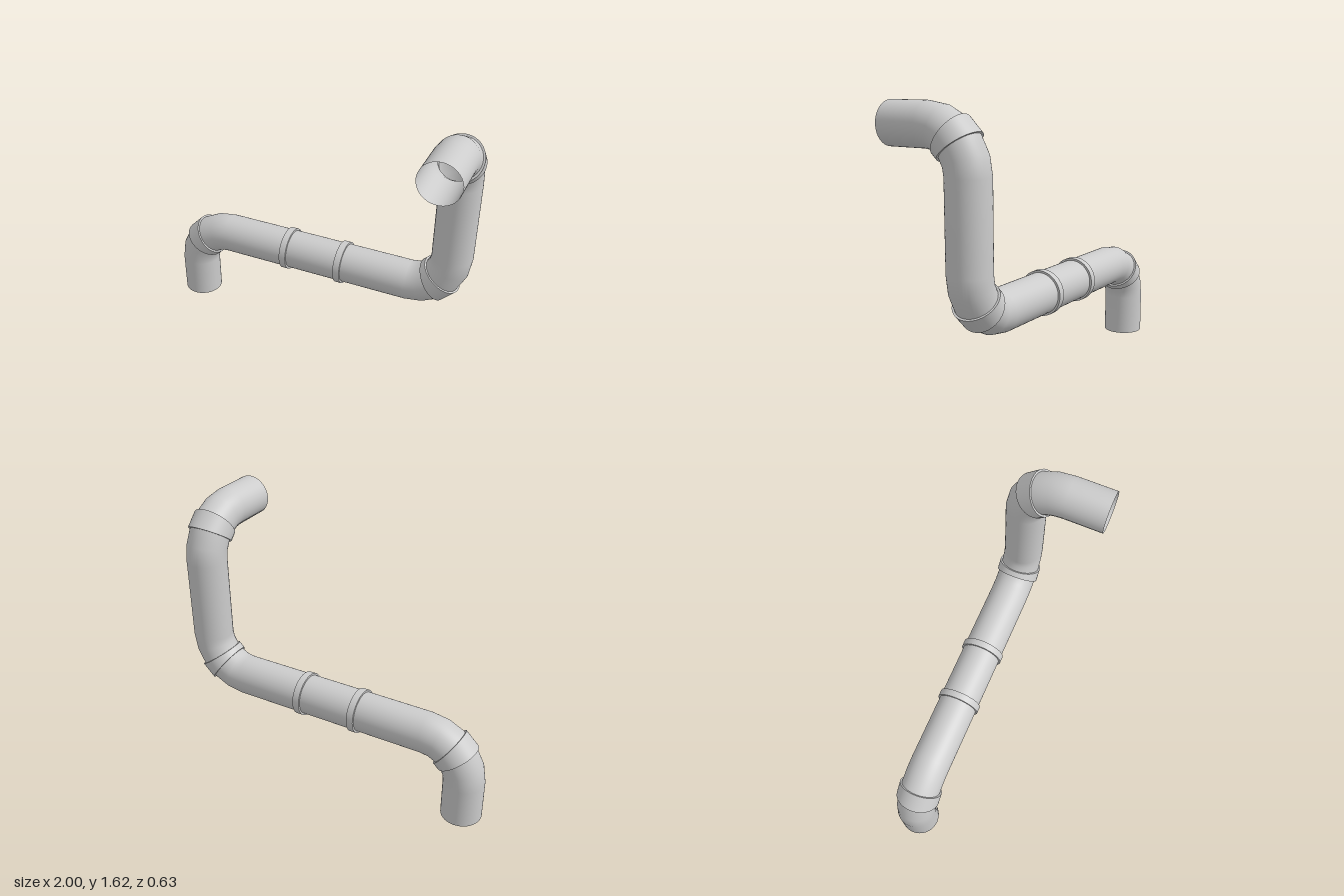
import * as THREE from 'three';
import { mergeGeometries } from 'three/addons/utils/BufferGeometryUtils.js';

const SIDES = 48, PIPE_R = 0.122, COLLAR_R = 0.134, BEND_R = 0.25, BEND_STEPS = 5;
const material = new THREE.MeshStandardMaterial({ color: 0xcccccc, side: THREE.DoubleSide });

// Skin of a tube through a list of rings { p: centre, q: orientation, r: radius }
function loft(rings) {
  const pos = [], index = [];
  rings.forEach(({ p, q, r }, i) => {
    for (let j = 0; j < SIDES; j++) {
      const a = (j / SIDES) * Math.PI * 2;
      const v = new THREE.Vector3(Math.cos(a) * r, 0, Math.sin(a) * r).applyQuaternion(q).add(p);
      pos.push(v.x, v.y, v.z);
      if (i === rings.length - 1) continue;
      const k = (j + 1) % SIDES, lo = i * SIDES, hi = lo + SIDES;
      index.push(lo + j, hi + j, lo + k, hi + j, hi + k, lo + k);
    }
  });
  const g = new THREE.BufferGeometry();
  g.setAttribute('position', new THREE.Float32BufferAttribute(pos, 3));
  g.setIndex(index);
  g.computeVertexNormals();
  return g;
}

export function createModel() {
  const group = new THREE.Group();
  group.name = 'pipeRun';

  // Walking state: position and orientation (local +y is the direction of travel)
  const p = new THREE.Vector3(-0.877, 0, -0.18);
  const q = new THREE.Quaternion();
  const ring = (r = PIPE_R) => ({ p: p.clone(), q: q.clone(), r });
  let section = [ring()];

  const add = (geometry, name) => {
    const mesh = new THREE.Mesh(geometry, material);
    mesh.name = name;
    group.add(mesh);
  };
  const endPipe = (name) => { add(loft(section), name); section = []; };

  const move = (d) => p.add(new THREE.Vector3(0, d, 0).applyQuaternion(q));
  const straight = (d) => { move(d); section.push(ring()); };
  const turn = (axis) => {
    const step = new THREE.Quaternion().setFromAxisAngle(axis, Math.PI / 2 / BEND_STEPS);
    const dir = new THREE.Vector3(0, 1, 0).applyQuaternion(q);
    const centre = axis.clone().cross(dir).multiplyScalar(BEND_R).add(p);
    p.sub(centre).applyQuaternion(step).add(centre);
    q.premultiply(step);
  };

  // Raised collar: the pipe wall steps out, runs along, and steps back in
  const collar = (advance, name) => {
    endPipe('pipe');
    const a = ring(), A = ring(COLLAR_R);
    advance();
    const b = ring(), B = ring(COLLAR_R);
    add(mergeGeometries([loft([a, A]), loft([A, B]), loft([B, b])]), name);
    section = [b];
  };

  // Quarter-turn elbow with the collar on its middle segment
  const elbow = (x, y, z) => {
    const axis = new THREE.Vector3(x, y, z);
    for (let i = 0; i < BEND_STEPS; i++) {
      if (i === 2) collar(() => turn(axis), 'elbowCollar');
      else { turn(axis); section.push(ring()); }
    }
  };

  // Lower riser, then the horizontal run with two couplings
  straight(0.247);
  elbow(0, 0, -1);
  straight(0.413);
  collar(() => move(0.043), 'couplingCollar');
  straight(0.327);
  collar(() => move(0.043), 'couplingCollar');
  straight(0.413);

  // Upper riser and forward-facing outlet
  elbow(0, 0, 1);
  straight(0.496);
  elbow(1, 0, 0);
  straight(0.245);
  endPipe('outletPipe');

  return group;
}
